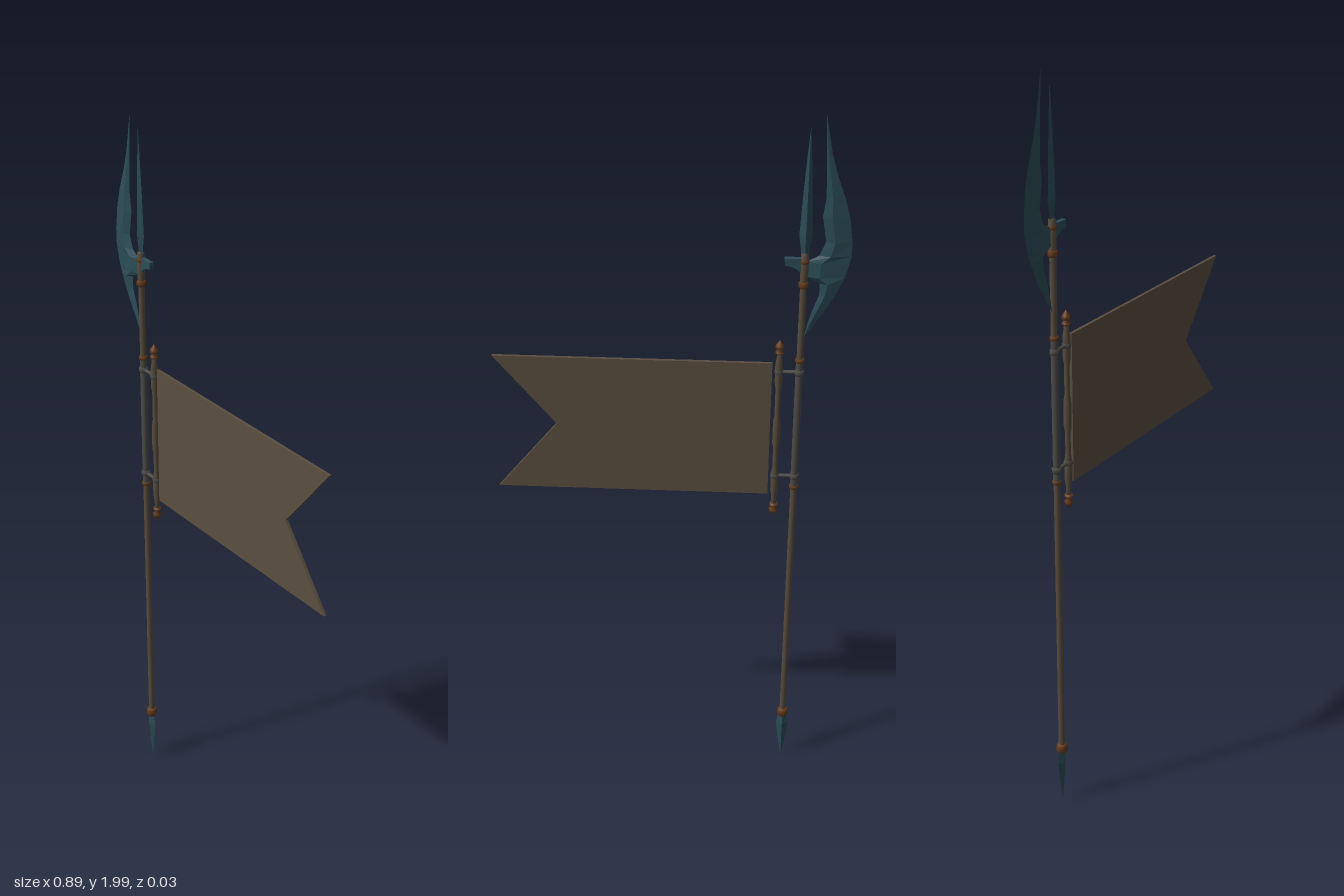
import * as THREE from 'three';

const POLE_X = -0.335;
const ROD_X = -0.284;

const mat = (name, color) => {
  const m = new THREE.MeshStandardMaterial({ color });
  m.name = name;
  return m;
};

const faceted = (geo) => {
  const g = geo.index ? geo.toNonIndexed() : geo;
  g.computeVertexNormals();
  return g;
};

export function createModel() {
  const wood = mat('brown wood', 0x564b3d);
  const cloth = mat('brown cloth', 0x5a4e40);
  const steel = mat('teal steel', 0x2c4d57);
  const copper = mat('dark copper', 0x63391a);
  const iron = mat('grey iron', 0x4b4a46);

  const group = new THREE.Group();
  const add = (name, geo, material, x = 0, y = 0, z = 0) => {
    const m = new THREE.Mesh(geo, material);
    m.name = name;
    m.position.set(x, y, z);
    group.add(m);
    return m;
  };
  // profile: [radius, y] from bottom to top
  const lathe = (profile, sides = 14) =>
    new THREE.LatheGeometry(profile.map(([r, y]) => new THREE.Vector2(r, y)), sides);

  // Pole with bracket sleeve
  add('pole', new THREE.CylinderGeometry(0.0085, 0.0085, 1.47, 14), wood, POLE_X, 0.895);
  add('poleSleeve', new THREE.CylinderGeometry(0.0095, 0.0095, 0.38, 14), iron, POLE_X, 1.152);

  // Collars along the pole
  const collar = [[0, -1], [0.75, -1], [1, -0.5], [1, 0.5], [0.75, 1], [0, 1]];
  const addCollar = (name, x, y, r, h, material) =>
    add(name, lathe(collar.map(([a, b]) => [a * r, b * h])), material, x, y);
  addCollar('buttCollar', POLE_X, 0.174, 0.015, 0.013, copper);
  addCollar('headCollar', POLE_X, 1.558, 0.0125, 0.009, copper);
  addCollar('upperHeadCollar', POLE_X, 1.622, 0.0115, 0.007, copper);
  for (const y of [0.962, 1.345]) addCollar('sleeveCollar', POLE_X, y, 0.012, 0.006, copper);

  // Head socket
  add('headSocket', lathe([[0.009, 1.56], [0.0105, 1.6], [0.01, 1.64], [0, 1.65]]), wood, POLE_X);

  // Flattened four-sided spike and butt point
  const spike = add('topSpike', faceted(lathe(
    [[0, 1.62], [0.009, 1.63], [0.01, 1.65], [0.016, 1.69], [0.011, 1.8], [0.005, 1.9], [0, 1.97]], 4)), steel, POLE_X);
  spike.scale.z = 0.6;
  const butt = add('buttPoint', faceted(lathe(
    [[0, 0.008], [0.007, 0.05], [0.0175, 0.13], [0.013, 0.155], [0.01, 0.168], [0, 0.17]], 4)), steel, POLE_X);
  butt.scale.z = 0.6;

  // Axe blade: diamond cross-sections [y, outer edge x, inner edge x]
  const sections = [
    [1.41, -0.342, -0.341], [1.45, -0.366, -0.349], [1.49, -0.392, -0.36],
    [1.53, -0.412, -0.374], [1.562, -0.427, -0.374], [1.58, -0.434, -0.338],
    [1.62, -0.444, -0.338], [1.638, -0.447, -0.37], [1.675, -0.447, -0.384],
    [1.74, -0.438, -0.373], [1.79, -0.424, -0.379], [1.845, -0.404, -0.377],
    [1.9, -0.388, -0.374], [1.997, -0.37, -0.369],
  ];
  const pos = [];
  const idx = [];
  sections.forEach(([y, a, b], i) => {
    const w = b - a;
    const t = Math.min(0.009, w * 0.16);
    const ridge = a + w * 0.65;
    pos.push(a, y, 0, ridge, y, t, b, y, 0, ridge, y, -t);
    if (i === 0) return;
    for (let k = 0; k < 4; k++) {
      const p = (i - 1) * 4 + k, q = (i - 1) * 4 + (k + 1) % 4;
      idx.push(p, q, q + 4, p, q + 4, p + 4);
    }
  });
  const bladeGeo = new THREE.BufferGeometry();
  bladeGeo.setAttribute('position', new THREE.Float32BufferAttribute(pos, 3));
  bladeGeo.setIndex(idx);
  add('axeBlade', faceted(bladeGeo), steel);

  // Rear hammer beak
  const beak = new THREE.Shape();
  beak.moveTo(-0.335, 1.575);
  beak.quadraticCurveTo(-0.325, 1.608, -0.288, 1.611);
  beak.lineTo(-0.286, 1.63);
  beak.lineTo(-0.335, 1.63);
  add('rearBeak', new THREE.ExtrudeGeometry(beak, { depth: 0.012, bevelEnabled: false, curveSegments: 6 }),
    steel, 0, 0, -0.006);

  // Banner rod with swellings
  add('bannerRod', lathe([
    [0, 0.9], [0.006, 0.9], [0.007, 0.93], [0.01, 0.95], [0.01, 1.0], [0.007, 1.02],
    [0.007, 1.08], [0.01, 1.095], [0.01, 1.16], [0.007, 1.18],
    [0.007, 1.26], [0.01, 1.28], [0.01, 1.33], [0.007, 1.35], [0.006, 1.375], [0, 1.375],
  ]), wood, ROD_X);

  // Rod finials, mirrored top and bottom
  const finial = lathe([[0, 0], [0.011, 0.003], [0.011, 0.009], [0.005, 0.013],
    [0.012, 0.021], [0.01, 0.028], [0, 0.042]]);
  add('topFinial', finial, copper, ROD_X, 1.36);
  add('bottomFinial', finial, copper, ROD_X, 0.909).rotation.x = Math.PI;

  // Arms joining rod to pole
  for (const y of [0.995, 1.31]) {
    addCollar('armCollar', POLE_X, y, 0.0125, 0.008, iron);
    const arm = add('bannerArm', new THREE.CylinderGeometry(0.005, 0.005, ROD_X - POLE_X, 10),
      iron, (POLE_X + ROD_X) / 2, y);
    arm.rotation.z = Math.PI / 2;
    addCollar('rodCollar', ROD_X, y, 0.0115, 0.008, iron);
  }

  // Swallowtail banner
  const flag = new THREE.Shape([[-0.267, 0.938], [0.443, 0.938], [0.284, 1.137], [0.443, 1.335], [-0.267, 1.335]]
    .map(([x, y]) => new THREE.Vector2(x, y)));
  add('banner', new THREE.ExtrudeGeometry(flag, { depth: 0.008, bevelEnabled: false }), cloth, 0, 0, -0.004);

  return group;
}
